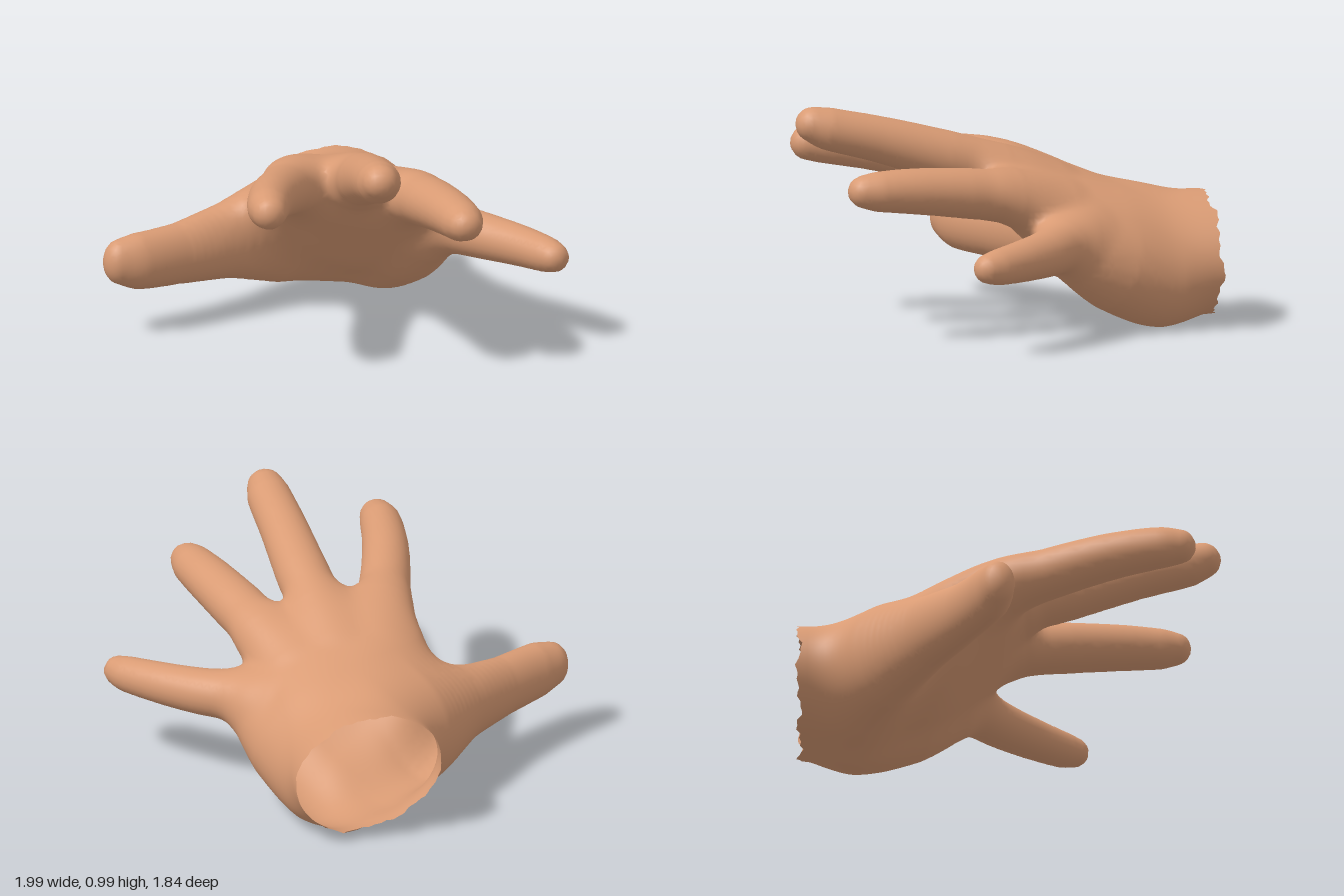
import * as THREE from 'three';

// Each digit: joints [x, y, z, radius] from inside the palm to the tip; tall stretches the section in y
const DIGITS = {
  thumb: { tall: 1.33, joints: [[0.0, 0.3, -0.62, 0.16], [-0.2, 0.3, -0.525, 0.168], [-0.43, 0.322, -0.335, 0.126], [-0.66, 0.317, -0.17, 0.101], [-0.84, 0.322, -0.057, 0.094], [-0.92, 0.33, -0.025, 0.076]] },
  indexFinger: { tall: 1, joints: [[-0.1, 0.58, -0.2, 0.1], [-0.175, 0.66, 0.02, 0.117], [-0.245, 0.7, 0.22, 0.11], [-0.31, 0.74, 0.46, 0.101], [-0.345, 0.762, 0.67, 0.09], [-0.348, 0.765, 0.745, 0.075]] },
  middleFinger: { tall: 0.96, joints: [[0.09, 0.6, -0.2, 0.1], [0.105, 0.685, 0.02, 0.118], [0.115, 0.755, 0.25, 0.117], [0.12, 0.842, 0.55, 0.104], [0.125, 0.895, 0.77, 0.096], [0.125, 0.918, 0.84, 0.079]] },
  ringFinger: { tall: 0.93, joints: [[0.28, 0.54, -0.2, 0.1], [0.345, 0.6, 0.02, 0.12], [0.405, 0.637, 0.25, 0.117], [0.465, 0.663, 0.5, 0.105], [0.495, 0.671, 0.64, 0.094], [0.505, 0.675, 0.705, 0.077]] },
  littleFinger: { tall: 1, joints: [[0.38, 0.42, -0.3, 0.1], [0.52, 0.405, -0.17, 0.109], [0.65, 0.395, -0.06, 0.101], [0.79, 0.39, 0.08, 0.09], [0.9, 0.385, 0.215, 0.078], [0.932, 0.385, 0.265, 0.065]] },
};

// Fleshy heel of the palm below the little finger
const HEEL = { tall: 1, joints: [[0.22, 0.21, -0.8, 0.16], [0.27, 0.182, -0.66, 0.183], [0.36, 0.255, -0.45, 0.17], [0.43, 0.345, -0.28, 0.135]] };

// Palm sections along z: centre x, centre y, half width, half height, sideways slope, squareness
const PALM_Z = [-0.92, -0.7, -0.5, -0.3, -0.1, 0.08];
const PALM = [
  0.125, 0.31, 0.325, 0.25, -0.1, 2,
  0.125, 0.308, 0.33, 0.262, -0.09, 2,
  0.115, 0.36, 0.365, 0.258, -0.1, 2.2,
  0.09, 0.443, 0.4, 0.24, -0.15, 2.3,
  0.085, 0.565, 0.372, 0.182, -0.18, 2.3,
  0.085, 0.66, 0.32, 0.1, -0.13, 2.3,
];
const palmAt = new THREE.CubicInterpolant(PALM_Z, PALM, 6, new Float64Array(6));

function smoothMin(a, b, k) {
  const h = Math.max(k - Math.abs(a - b), 0) / k;
  return Math.min(a, b) - h * h * k * 0.25;
}

// Samples the joints on a smooth curve and returns a distance function to the swept digit
function makeLimb({ tall, joints }) {
  const n = 8 * (joints.length - 1);
  const path = new THREE.CatmullRomCurve3(joints.map(([x, y, z]) => new THREE.Vector3(x, y / tall, z)));
  const pts = [];
  for (let i = 0; i <= n; i++) {
    const j = Math.min(Math.floor(i / 8), joints.length - 2);
    const p = path.getPoint(i / n);
    const r = THREE.MathUtils.lerp(joints[j][3], joints[j + 1][3], i / 8 - j);
    pts.push([p.x, p.y, p.z, r]);
  }
  return (x, y0, z) => {
    const y = y0 / tall;
    let best = Infinity;
    for (let i = 0; i < n; i++) {
      const a = pts[i], b = pts[i + 1];
      const dx = b[0] - a[0], dy = b[1] - a[1], dz = b[2] - a[2];
      const px = x - a[0], py = y - a[1], pz = z - a[2];
      const t = Math.min(1, Math.max(0, (px * dx + py * dy + pz * dz) / (dx * dx + dy * dy + dz * dz)));
      const ex = px - t * dx, ey = py - t * dy, ez = pz - t * dz;
      const d = Math.sqrt(ex * ex + ey * ey + ez * ez) - a[3] - t * (b[3] - a[3]);
      if (d < best) best = d;
    }
    return best;
  };
}

const names = Object.keys(DIGITS);
const digits = names.map((name) => makeLimb(DIGITS[name]));
const heel = makeLimb(HEEL);

// Flattened oval sections, rounded off between the finger roots
function palm(x, y, z) {
  const [cx, cy, rx, ry, slope, power] = palmAt.evaluate(z);
  const dx = x - cx, dy = y - cy - slope * dx;
  const oval = (Math.abs(dx / rx) ** power + Math.abs(dy / ry) ** power) ** (1 / power);
  const d = (oval - 1) * Math.min(rx, ry);
  return smoothMin(-smoothMin(-d, 0.1 - z, 0.12), heel(x, y, z), 0.08);
}

// Whole hand: digits blended tightly with each other, then softly into the palm
function hand(x, y, z) {
  let fingers = digits[1](x, y, z);
  for (let i = 2; i < 5; i++) fingers = smoothMin(fingers, digits[i](x, y, z), 0.035);
  const body = smoothMin(palm(x, y, z), digits[0](x, y, z), 0.14);
  return smoothMin(body, fingers, 0.08);
}

function gradient(p) {
  const e = 0.012;
  return new THREE.Vector3(
    hand(p.x + e, p.y, p.z) - hand(p.x - e, p.y, p.z),
    hand(p.x, p.y + e, p.z) - hand(p.x, p.y - e, p.z),
    hand(p.x, p.y, p.z + e) - hand(p.x, p.y, p.z - e),
  ).divideScalar(2 * e);
}

// Nets a skin over the blended volume; the grid starts at the wrist, which stays open
function buildSkin() {
  const step = 0.026, min = [-1.06, -0.06, -0.9], size = [83, 44, 74];
  const stride = [1, size[0], size[0] * size[1]];
  const at = (i, j, k) => i + j * stride[1] + k * stride[2];
  const field = new Float32Array(size[0] * size[1] * size[2]);
  const eachCell = (fn) => {
    for (let k = 0; k < size[2] - 1; k++)
      for (let j = 0; j < size[1] - 1; j++)
        for (let i = 0; i < size[0] - 1; i++) fn(i, j, k);
  };
  for (let k = 0; k < size[2]; k++)
    for (let j = 0; j < size[1]; j++)
      for (let i = 0; i < size[0]; i++)
        field[at(i, j, k)] = hand(min[0] + i * step, min[1] + j * step, min[2] + k * step);

  // One vertex in each cell that the surface crosses
  const cellVertex = new Int32Array(field.length).fill(-1);
  const points = [], normals = [];
  eachCell((i, j, k) => {
    const sum = new THREE.Vector3();
    let count = 0;
    for (let c = 0; c < 8; c++) {
      const o = [c & 1, (c >> 1) & 1, c >> 2];
      const a = field[at(i + o[0], j + o[1], k + o[2])];
      for (let axis = 0; axis < 3; axis++) {
        if (o[axis]) continue;
        const b = field[at(i + o[0], j + o[1], k + o[2]) + stride[axis]];
        if ((a < 0) === (b < 0)) continue;
        const q = new THREE.Vector3(...o);
        q.setComponent(axis, a / (a - b));
        sum.add(q);
        count++;
      }
    }
    if (!count) return;
    const p = sum.divideScalar(count).add(new THREE.Vector3(i, j, k)).multiplyScalar(step).add(new THREE.Vector3(...min));
    for (let s = 0; s < 3; s++) {
      const g = gradient(p);
      p.addScaledVector(g, -hand(p.x, p.y, p.z) / Math.max(g.lengthSq(), 0.2));
    }
    normals.push(...gradient(p).normalize().toArray());
    // Ragged wrist edge
    if (k === 0) {
      const a = Math.atan2(p.y - 0.31, p.x - 0.125);
      p.z = -0.9 + 0.009 * Math.sin(a * 7) + 0.006 * Math.sin(a * 13 + 1) + 0.005 * Math.sin(a * 29);
    }
    cellVertex[at(i, j, k)] = points.length;
    points.push(p);
  });

  // A quad around each crossed grid edge, sorted into the part it lies closest to
  const faces = { palm: [] };
  names.forEach((name) => { faces[name] = []; });
  eachCell((i, j, k) => {
    const here = at(i, j, k), ijk = [i, j, k];
    for (let axis = 0; axis < 3; axis++) {
      const b = (axis + 1) % 3, c = (axis + 2) % 3;
      if (!ijk[b] || !ijk[c]) continue;
      const inside = field[here] < 0;
      if (inside === field[here + stride[axis]] < 0) continue;
      const quad = [here, here - stride[b], here - stride[b] - stride[c], here - stride[c]].map((n) => cellVertex[n]);
      if (!inside) quad.reverse();
      const p = points[quad[0]];
      let part = 'palm', best = palm(p.x, p.y, p.z);
      digits.forEach((digit, n) => {
        const d = digit(p.x, p.y, p.z);
        if (d < best) { best = d; part = names[n]; }
      });
      faces[part].push(quad[0], quad[1], quad[2], quad[0], quad[2], quad[3]);
    }
  });
  return { positions: points.flatMap((p) => p.toArray()), normals, faces };
}

export function createModel() {
  const group = new THREE.Group();
  group.name = 'hand';
  const skin = new THREE.MeshStandardMaterial({ color: 0xd99b74, side: THREE.DoubleSide });
  skin.name = 'skin';
  const { positions, normals, faces } = buildSkin();
  const position = new THREE.Float32BufferAttribute(positions, 3);
  const normal = new THREE.Float32BufferAttribute(normals, 3);
  // All parts share one set of points so the skin is seamless
  for (const [name, index] of Object.entries(faces)) {
    const geometry = new THREE.BufferGeometry();
    geometry.setAttribute('position', position);
    geometry.setAttribute('normal', normal);
    geometry.setIndex(index);
    const mesh = new THREE.Mesh(geometry, skin);
    mesh.name = name;
    group.add(mesh);
  }
  return group;
}
